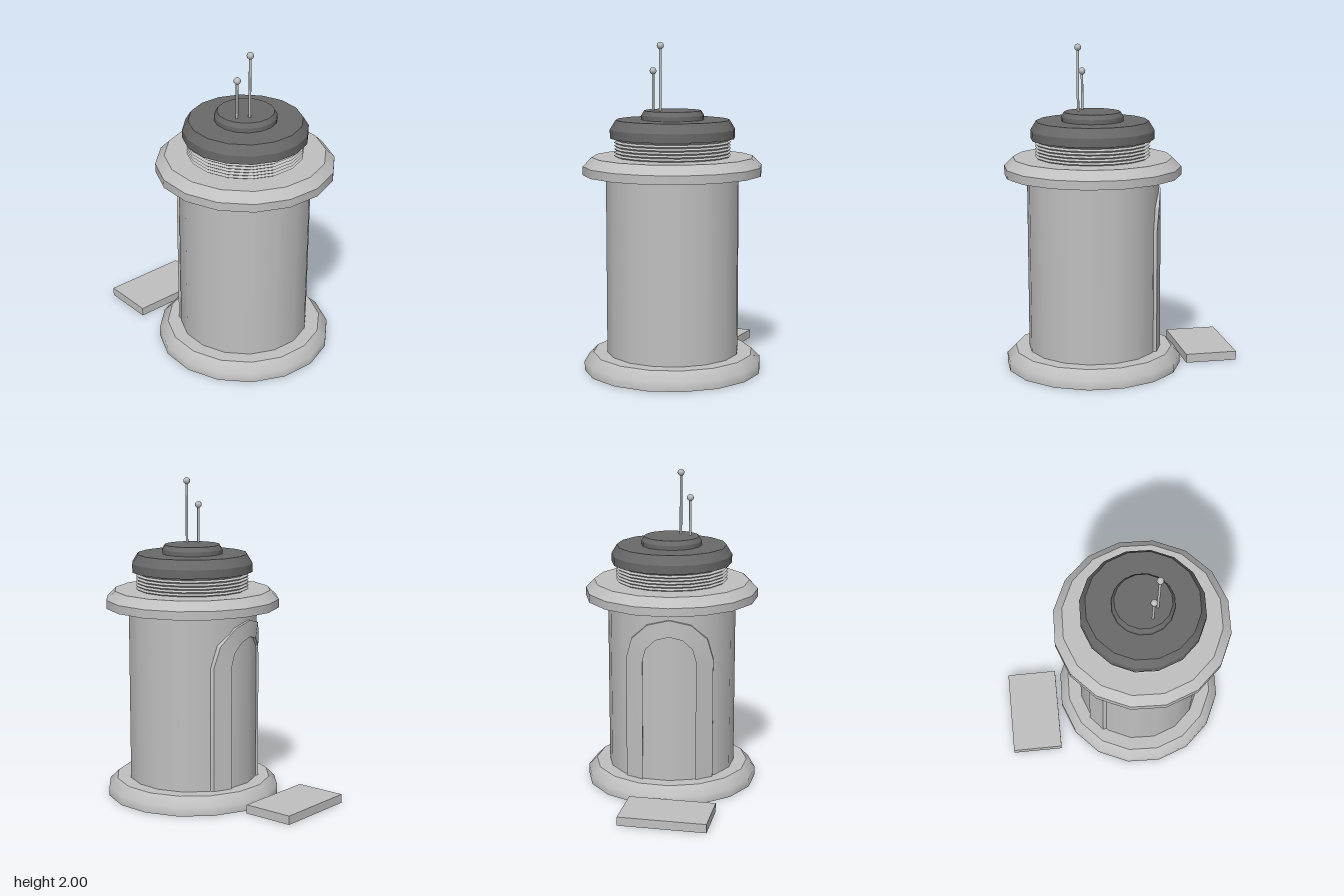
import * as THREE from 'three';
import { mergeGeometries, toCreasedNormals } from 'three/addons/utils/BufferGeometryUtils.js';

const SIDES = 16;

// Turned part: each band of [radius, y] points is smooth, with sharp edges between bands
function turned(bands) {
  return mergeGeometries(bands.map(band =>
    new THREE.LatheGeometry(band.map(p => new THREE.Vector2(p[0], p[1])), SIDES)));
}

// Closed disc with a vertical rim and a bevelled top edge
function bevelledDisc(r, rTop, y0, y1, y2, smoothRim = false) {
  const rim = smoothRim
    ? [[[r, y0], [r, y1], [rTop, y2]]]
    : [[[r, y0], [r, y1]], [[r, y1], [rTop, y2]]];
  return turned([[[0, y0], [r, y0]], ...rim, [[rTop, y2], [0, y2]]]);
}

// Arched door frame wrapped around the tower wall
function archFrame() {
  const rOuter = 0.27, rInner = 0.165, springY = 0.88, footY = 0.06, steps = 6;
  const stations = [[0, footY]];
  for (let i = 0; i <= steps; i++) stations.push([Math.PI * i / steps, springY]);
  stations.push([Math.PI, footY]);
  const rings = stations.map(([a, y]) =>
    [[rOuter, 0.419], [rInner, 0.419], [rInner, 0.385], [rOuter, 0.385]].map(([r, wall]) => {
      const x = r * Math.cos(a);
      return [x, y + r * Math.sin(a), -Math.sqrt(wall * wall - x * x)];
    }));
  const pos = [];
  for (let k = 0; k < rings.length - 1; k++) {
    for (let j = 0; j < 4; j++) {
      const n = (j + 1) % 4, p = rings[k], q = rings[k + 1];
      pos.push(...p[j], ...p[n], ...q[j], ...p[n], ...q[n], ...q[j]);
    }
  }
  const g = new THREE.BufferGeometry();
  g.setAttribute('position', new THREE.Float32BufferAttribute(pos, 3));
  return toCreasedNormals(g, 0.5);
}

export function createModel() {
  const model = new THREE.Group();
  const lightGrey = new THREE.MeshStandardMaterial({ color: 0xc0c0c0 });
  lightGrey.name = 'light grey';
  const darkGrey = new THREE.MeshStandardMaterial({ color: 0x696969 });
  darkGrey.name = 'dark grey';

  const tower = new THREE.Group();
  tower.name = 'tower';
  tower.position.z = 0.196;
  model.add(tower);

  const add = (name, geometry, material, parent = tower) => {
    const mesh = new THREE.Mesh(geometry, material);
    mesh.name = name;
    parent.add(mesh);
    return mesh;
  };

  // Main body
  add('base', bevelledDisc(0.545, 0.49, 0, 0.055, 0.11, true), lightGrey);
  add('wall', turned([[[0.405, 0.1], [0.405, 1.21]]]), lightGrey);
  add('upperFlange', bevelledDisc(0.545, 0.49, 1.205, 1.257, 1.312), lightGrey);
  add('doorFrame', archFrame(), lightGrey);

  // Ribbed neck
  const ribs = 6, y0 = 1.31, step = (1.43 - y0) / ribs, neck = [];
  for (let i = 0; i < ribs; i++) {
    const y = y0 + i * step;
    neck.push([[0.34, y], [0.355, y + step / 2]], [[0.355, y + step / 2], [0.34, y + step]]);
  }
  add('ribbedNeck', turned(neck), lightGrey);

  // Roof
  add('roofCap', bevelledDisc(0.38, 0.345, 1.425, 1.478, 1.535), darkGrey);
  add('roofHatch', bevelledDisc(0.19, 0.173, 1.53, 1.562, 1.59), darkGrey);

  // Antennas: x, z, height of ball centre
  for (const [x, z, top] of [[-0.055, 0.073, 1.978], [-0.115, 0.026, 1.827]]) {
    const antenna = new THREE.Group();
    antenna.name = 'antenna';
    antenna.position.set(x, 0, z);
    tower.add(antenna);
    const length = top - 1.58;
    add('antennaRod', new THREE.CylinderGeometry(0.008, 0.008, length, 8), lightGrey, antenna)
      .position.y = 1.58 + length / 2;
    add('antennaBall', new THREE.SphereGeometry(0.022, 8, 6), lightGrey, antenna)
      .position.y = top;
  }

  // Doorstep slab lying askew behind the door
  const step1 = add('doorstep', new THREE.BoxGeometry(0.543, 0.055, 0.324), lightGrey, model);
  step1.position.set(-0.002, 0.0275, -0.543);
  step1.rotation.y = -0.16;

  return model;
}
